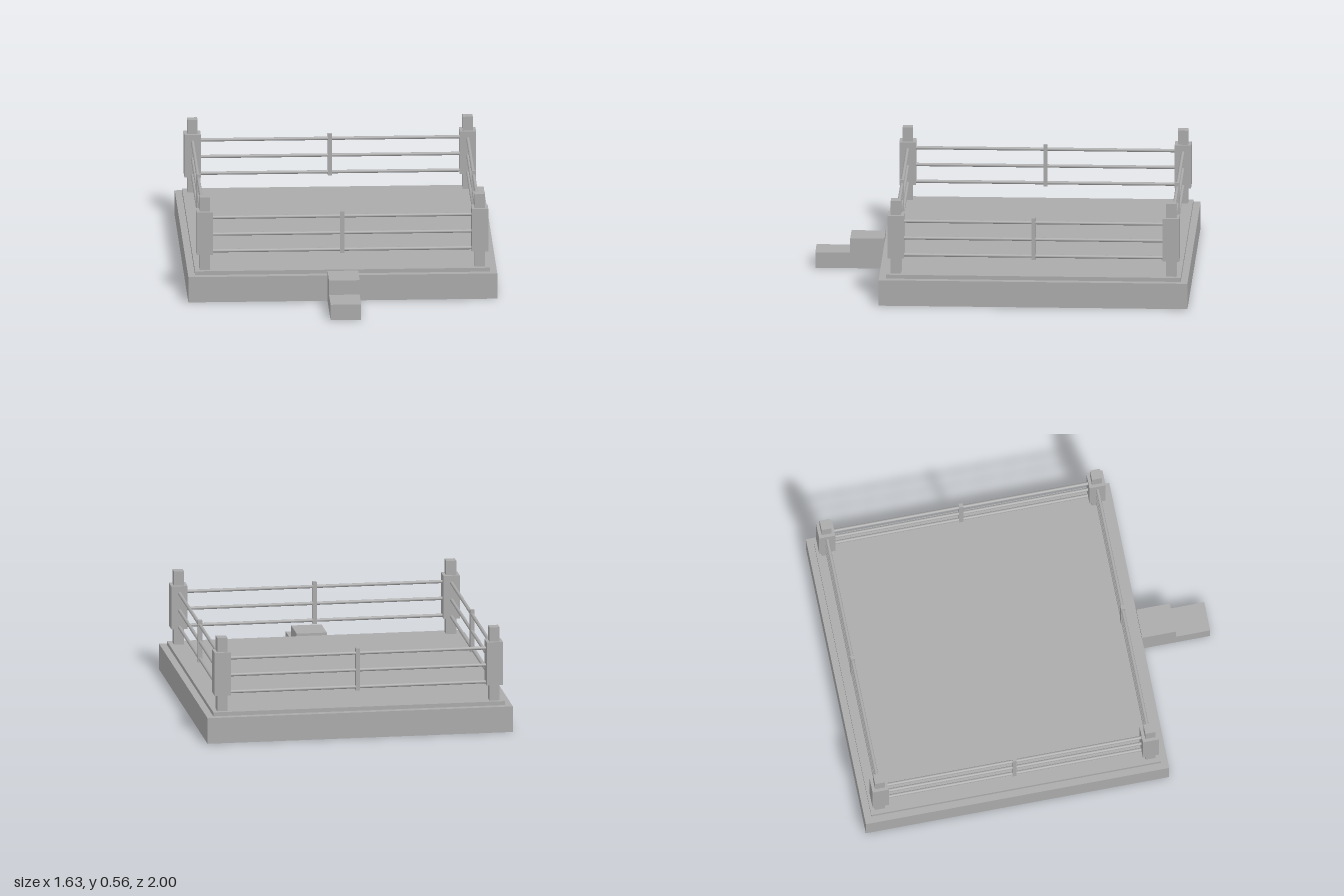
import * as THREE from 'three';

export function createModel() {
  const root = new THREE.Group();
  root.name = 'ring';
  const grey = new THREE.MeshStandardMaterial({ color: 0xaaaaaa });
  grey.name = 'plain grey';

  const add = (name, geometry, x, y, z, parent = root) => {
    const mesh = new THREE.Mesh(geometry, grey);
    mesh.name = name;
    mesh.position.set(x, y, z);
    parent.add(mesh);
    return mesh;
  };
  // box given by its bottom and top heights
  const block = (name, w, d, y0, y1, x, z, parent) =>
    add(name, new THREE.BoxGeometry(w, y1 - y0, d), x, (y0 + y1) / 2, z, parent);

  const cz = -0.183;   // centre of the platform
  const half = 0.728;  // centre to post
  const padSize = 0.087;

  // platform and steps
  block('platform', 1.634, 1.634, 0, 0.139, 0, cz);
  block('mat', 1.56, 1.56, 0.139, 0.16, 0, cz);
  block('upperStep', 0.162, 0.181, 0, 0.164, 0, 0.7245);
  block('lowerStep', 0.162, 0.185, 0, 0.085, 0, 0.9075);

  // corner posts with pads
  for (const sx of [-1, 1]) {
    for (const sz of [-1, 1]) {
      const corner = new THREE.Group();
      corner.name = 'cornerPost';
      corner.position.set(sx * half, 0, cz + sz * half);
      root.add(corner);
      block('post', 0.054, 0.054, 0.16, 0.558, 0, 0, corner);
      block('pad', padSize, padSize, 0.247, 0.481, 0, 0, corner);
    }
  }

  // three ropes and a spacer on each side
  const ropeGeometry = new THREE.CylinderGeometry(0.009, 0.009, 2 * half - padSize, 16);
  ropeGeometry.rotateZ(Math.PI / 2);
  for (let i = 0; i < 4; i++) {
    const side = new THREE.Group();
    side.name = 'ropeSide';
    side.position.z = cz;
    side.rotation.y = i * Math.PI / 2;
    root.add(side);
    for (const y of [0.257, 0.349, 0.441]) add('rope', ropeGeometry, 0, y, half, side);
    block('ropeSpacer', 0.022, 0.022, 0.238, 0.467, 0, half, side);
  }
  return root;
}
